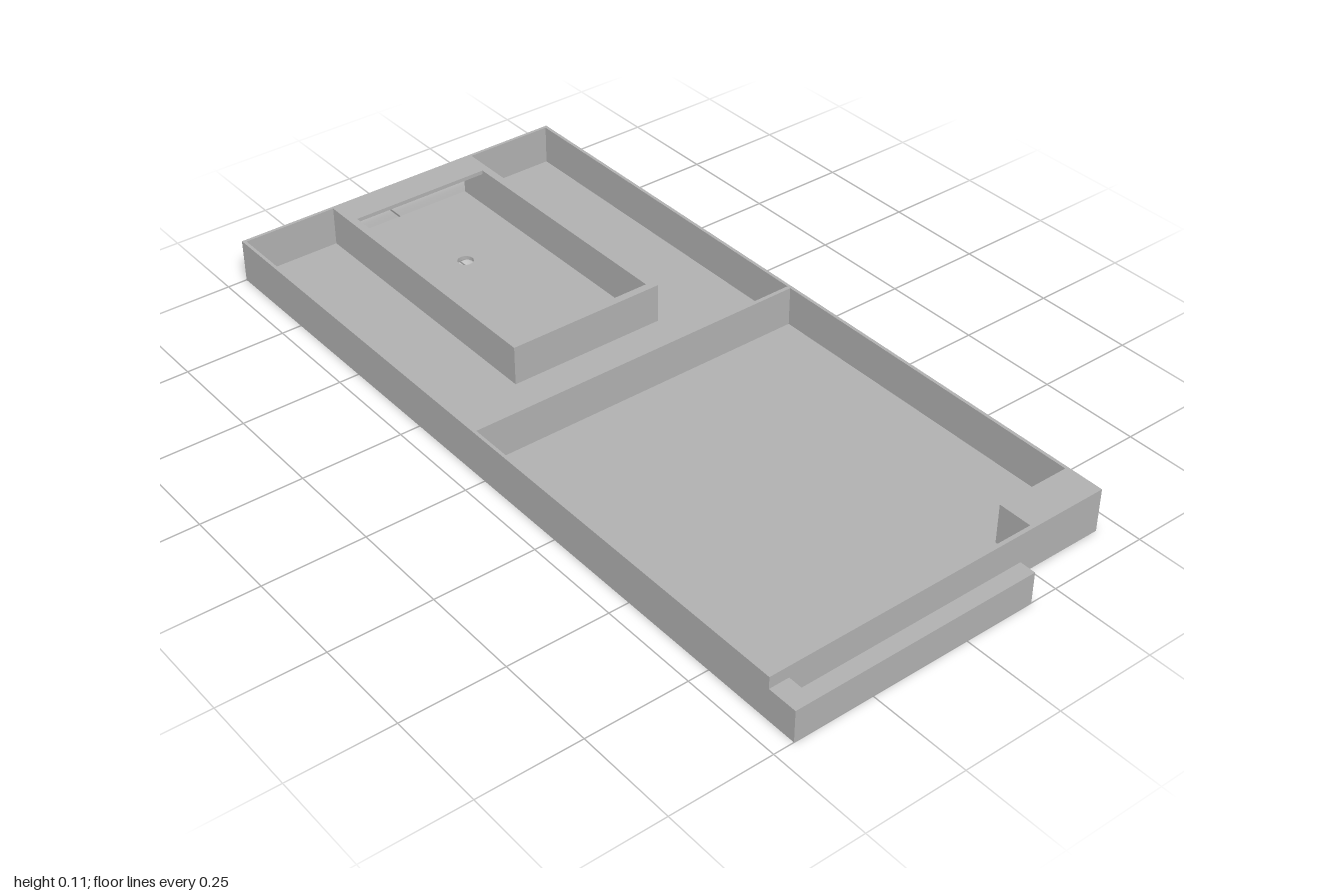
import * as THREE from 'three';

export function createModel() {
  const model = new THREE.Group();
  model.name = 'tray';
  const grey = new THREE.MeshStandardMaterial({ color: 0xb0b0b0 });
  grey.name = 'grey plastic';

  const H = 0.11;      // wall height
  const F = 0.01;      // floor thickness
  const T = 0.008;     // thin wall thickness

  // Box given by its limits on each axis
  const box = (name, x0, x1, y0, y1, z0, z1, parent = model) => {
    const mesh = new THREE.Mesh(new THREE.BoxGeometry(x1 - x0, y1 - y0, z1 - z0), grey);
    mesh.position.set((x0 + x1) / 2, (y0 + y1) / 2, (z0 + z1) / 2);
    mesh.name = name;
    parent.add(mesh);
  };
  const group = (name) => {
    const g = new THREE.Group();
    g.name = name;
    model.add(g);
    return g;
  };

  // Floor with a cut back corner and a round drain hole (shape y becomes -z)
  const outline = new THREE.Shape();
  [[-1, -0.45], [0.925, -0.45], [0.925, 0.25], [0.85, 0.25], [0.85, 0.45], [-1, 0.45]]
    .forEach(([x, y], i) => (i ? outline.lineTo(x, y) : outline.moveTo(x, y)));
  outline.closePath();
  const hole = new THREE.Path();
  hole.absarc(-0.73, 0.005, 0.02, 0, Math.PI * 2, true);
  outline.holes.push(hole);
  const floorGeo = new THREE.ExtrudeGeometry(outline, { depth: F, bevelEnabled: false, curveSegments: 16 });
  floorGeo.rotateX(-Math.PI / 2);
  const floor = new THREE.Mesh(floorGeo, grey);
  floor.name = 'floor';
  model.add(floor);

  // Outer walls and the cross divider
  box('frontWall', -1, 0.925, F, H, 0.45 - T, 0.45);
  box('backWall', -1, 0.84, F, H, -0.45, -0.45 + T);
  box('rightEndWallBack', -1, -1 + T, F, H, -0.45 + T, -0.21);
  box('rightEndWallFront', -1, -1 + T, F, H, 0.2, 0.45 - T);
  box('leftEndWall', 0.915, 0.925, F, H, -0.25, 0.45 - T);
  box('divider', -0.045, -0.035, F, H, -0.45 + T, 0.45 - T);

  // Inner compartment, open at the outer end below a roof strip
  const bay = group('innerCompartment');
  box('bayBackWall', -1, -0.235, F, H, -0.21, -0.19, bay);
  box('bayFrontWall', -1, -0.235, F, H, 0.18, 0.2, bay);
  box('bayEndWall', -0.255, -0.235, F, H, -0.19, 0.18, bay);
  box('bayRoofStrip', -1, -0.915, H - 0.01, H, -0.19, 0.18, bay);

  // Back corner block with a channel open below and behind
  const block = group('channelBlock');
  box('channelInnerWall', 0.83, 0.85, F, H, -0.45, -0.25, block);
  box('channelRoof', 0.85, 0.925, 0.08, H, -0.45, -0.25, block);
  box('channelOuterWall', 0.9, 0.925, 0, 0.08, -0.45, -0.25, block);
  box('channelEnd', 0.85, 0.9, 0, 0.08, -0.26, -0.25, block);

  // Front corner post and the side clip
  box('cornerPost', 0.87, 0.915, F, H, 0.37, 0.45 - T);
  const clip = group('sideClip');
  box('clipArm', 0.96, 1, 0, 0.08, -0.18, 0.45, clip);
  box('clipLip', 0.95, 0.96, 0, 0.02, -0.18, 0.4, clip);
  box('clipRoot', 0.925, 0.96, 0, 0.08, 0.4, 0.45, clip);

  return model;
}
